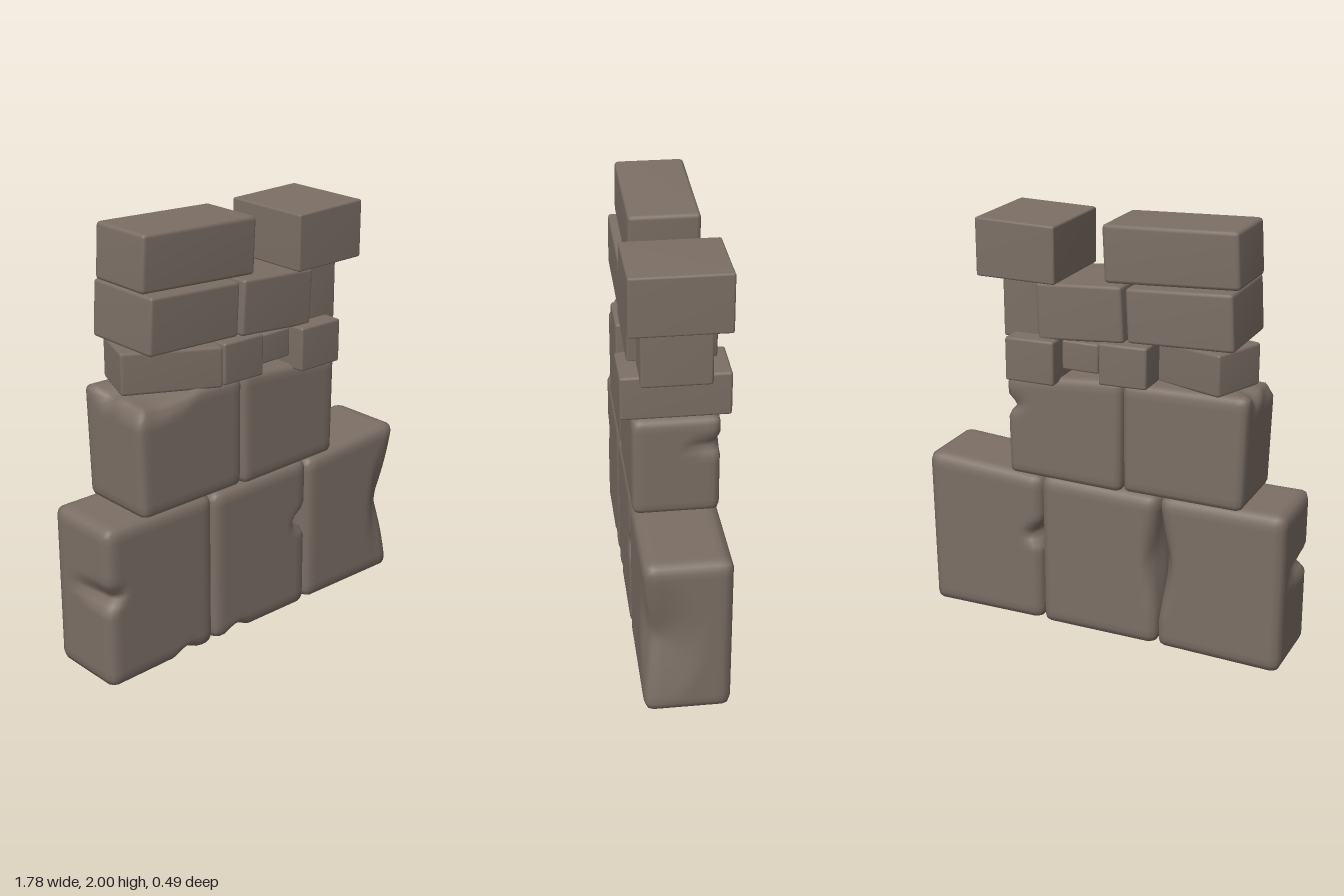
import * as THREE from 'three';
import { mergeVertices } from 'three/addons/utils/BufferGeometryUtils.js';

const stone = new THREE.MeshStandardMaterial({ color: 0x7c6f65, roughness: 0.9 });

// Bevelled block: corners are [x, y] in the order bottom left, bottom right, top right, top left.
// Each dent is [x, y, z, rx, ry, rz, depth] and presses the surface towards the block's middle.
function block(name, corners, z0, z1, bevel, dents = [], cell = 0) {
  const [a, b, c, d] = corners;
  const w = (b[0] + c[0] - a[0] - d[0]) / 2;
  const h = (c[1] + d[1] - a[1] - b[1]) / 2;
  const size = [w, h, z1 - z0];
  const segs = size.map(s => (cell ? Math.max(3, Math.round(s / cell)) : 3));
  let geo = new THREE.BoxGeometry(...size, ...segs);
  geo.deleteAttribute('normal');
  geo.deleteAttribute('uv');
  geo = mergeVertices(geo, 1e-4);
  const pos = geo.attributes.position;
  const mid = new THREE.Vector3(
    (a[0] + b[0] + c[0] + d[0]) / 4, (a[1] + b[1] + c[1] + d[1]) / 4, (z0 + z1) / 2);

  for (let i = 0; i < pos.count; i++) {
    // Pull the outer ring of vertices to the bevel width, then round the edges
    const p = [pos.getX(i), pos.getY(i), pos.getZ(i)];
    const inner = p.map((v, k) => {
      const half = size[k] / 2;
      if (Math.abs(v) < half - 1e-4) p[k] = v * (half - bevel) / (half - size[k] / segs[k]);
      return THREE.MathUtils.clamp(p[k], bevel - half, half - bevel);
    });
    const off = new THREE.Vector3(p[0] - inner[0], p[1] - inner[1], p[2] - inner[2]).setLength(bevel);
    const u = (inner[0] + off.x) / w + 0.5;
    const v = (inner[1] + off.y) / h + 0.5;
    // Fit to the four corners
    const mix = k => (1 - v) * ((1 - u) * a[k] + u * b[k]) + v * ((1 - u) * d[k] + u * c[k]);
    const q = new THREE.Vector3(mix(0), mix(1), inner[2] + off.z + mid.z);
    for (const [x, y, z, rx, ry, rz, depth] of dents) {
      const t = Math.hypot((q.x - x) / rx, (q.y - y) / ry, (q.z - z) / rz);
      if (t < 1) q.addScaledVector(mid.clone().sub(q).normalize(), depth * (1 - t));
    }
    pos.setXYZ(i, q.x, q.y, q.z);
  }
  geo.computeVertexNormals();
  const mesh = new THREE.Mesh(geo, stone);
  mesh.name = name;
  return mesh;
}

const rect = (x0, x1, y0, y1) => [[x0, y0], [x1, y0], [x1, y1], [x0, y1]];

export function createModel() {
  const group = new THREE.Group();
  group.name = 'stoneWall';
  const add = (...args) => {
    const mesh = block(...args);
    group.add(mesh);
    return mesh;
  };

  // Base course: large worn stones with chipped edges
  add('baseStoneRight', [[-0.89, 0], [-0.296, 0.01], [-0.296, 0.765], [-0.89, 0.77]], -0.195, 0.19, 0.04, [
    [-0.89, 0.44, 0.19, 0.1, 0.06, 0.3, 0.07],
    [-0.45, 0, 0.19, 0.07, 0.06, 0.12, 0.05],
    [-0.3, 0.45, -0.19, 0.08, 0.32, 0.14, 0.06],
  ], 0.03);
  add('baseStoneMiddle', [[-0.292, 0.01], [0.292, 0.005], [0.292, 0.765], [-0.292, 0.755]], -0.195, 0.19, 0.04, [
    [0.295, 0.46, 0.19, 0.1, 0.07, 0.2, 0.08],
    [-0.15, 0, 0.19, 0.07, 0.06, 0.12, 0.05],
    [-0.295, 0.45, -0.19, 0.08, 0.3, 0.14, 0.05],
  ], 0.03);
  add('baseStoneLeft', [[0.296, 0.01], [0.885, 0], [0.892, 0.785], [0.292, 0.75]], -0.195, 0.19, 0.04, [
    [0.89, 0.38, 0.19, 0.16, 0.36, 0.26, 0.08],
    [0.295, 0.46, -0.19, 0.1, 0.07, 0.2, 0.07],
  ], 0.03);

  // Second course
  add('middleStoneRight', [[-0.69, 0.76], [-0.123, 0.76], [-0.12, 1.275], [-0.705, 1.29]], -0.195, 0.19, 0.03, [
    [-0.62, 1.29, 0.19, 0.26, 0.1, 0.26, 0.06],
    [-0.7, 1.29, -0.05, 0.1, 0.08, 0.08, 0.05],
  ], 0.03);
  add('middleStoneLeft', [[-0.112, 0.75], [0.453, 0.758], [0.458, 1.23], [-0.118, 1.285]], -0.195, 0.19, 0.03, [
    [0.455, 1.1, -0.19, 0.1, 0.05, 0.16, 0.05],
  ], 0.03);

  // Third course: small stones, the end one turned askew
  const turned = add('turnedStone', [[-0.23, 1.285], [0.23, 1.265], [0.23, 1.455], [-0.23, 1.48]], -0.135, 0.135, 0.015);
  turned.position.x = -0.415;
  turned.rotation.y = -0.38;
  add('smallStoneRight', [[-0.25, 1.275], [-0.02, 1.268], [-0.02, 1.462], [-0.25, 1.467]], -0.225, 0.215, 0.012);
  add('smallStoneMiddle', rect(0, 0.178, 1.3, 1.437), -0.18, 0.175, 0.01);
  add('smallStoneLeft', [[0.19, 1.235], [0.432, 1.232], [0.432, 1.437], [0.19, 1.442]], -0.245, 0.24, 0.012);

  // Fourth course
  add('upperStoneRight', [[-0.64, 1.49], [-0.148, 1.47], [-0.135, 1.715], [-0.625, 1.745]], -0.2, 0.19, 0.015);
  add('upperStoneMiddle', [[-0.13, 1.465], [0.285, 1.43], [0.297, 1.69], [-0.115, 1.718]], -0.2, 0.195, 0.015);
  add('upperStoneLeft', rect(0.3, 0.482, 1.41, 1.7), -0.155, 0.155, 0.012);

  // Top course: two stones with a gap between them
  add('topStoneRight', [[-0.645, 1.752], [-0.02, 1.715], [-0.008, 1.975], [-0.63, 2.002]], -0.165, 0.155, 0.018);
  add('topStoneLeft', [[0.19, 1.695], [0.578, 1.695], [0.578, 1.962], [0.19, 1.955]], -0.222, 0.215, 0.01);
  return group;
}
